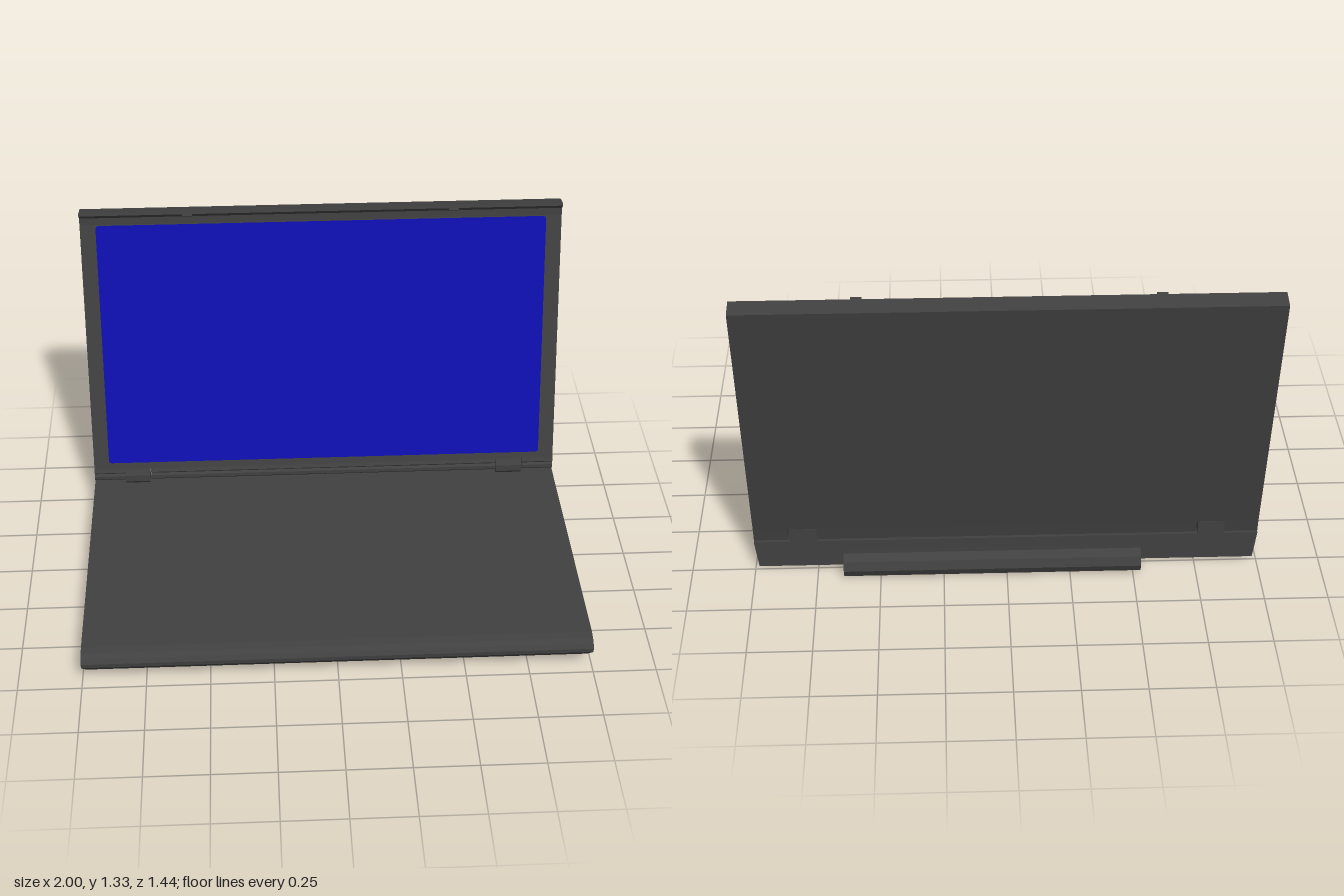
import * as THREE from 'three';

const casing = new THREE.MeshStandardMaterial({ color: 0x404040 });
casing.name = 'charcoal casing';
const display = new THREE.MeshStandardMaterial({ color: 0x0f0fb0 });
display.name = 'blue display';

// Extrudes a side profile of [z, y] points from x0 to x1.
function slab(name, profile, x0, x1) {
  const shape = new THREE.Shape(profile.map(([z, y]) => new THREE.Vector2(z, y)));
  const geometry = new THREE.ExtrudeGeometry(shape, { depth: x1 - x0, bevelEnabled: false });
  geometry.rotateY(-Math.PI / 2).translate(x1, 0, 0);
  const mesh = new THREE.Mesh(geometry, casing);
  mesh.name = name;
  return mesh;
}

function roundedRect(w, h, r) {
  const s = new THREE.Shape();
  const x = w / 2, y = h / 2;
  s.moveTo(-x + r, -y).lineTo(x - r, -y).quadraticCurveTo(x, -y, x, -y + r);
  s.lineTo(x, y - r).quadraticCurveTo(x, y, x - r, y);
  s.lineTo(-x + r, y).quadraticCurveTo(-x, y, -x, y - r);
  s.lineTo(-x, -y + r).quadraticCurveTo(-x, -y, -x + r, -y);
  return s;
}

export function createModel() {
  const model = new THREE.Group();
  model.name = 'laptop';

  // Base with a rounded nose; its underside is drawn in slightly at the sides
  const base = slab('base', [
    [-0.495, 0.01], [0.33, 0.01], [0.675, 0.03], [0.722, 0.078], [0.723, 0.095],
    [0.712, 0.112], [0.69, 0.124], [0.66, 0.13], [-0.495, 0.13],
  ], -1, 1);
  const pos = base.geometry.attributes.position;
  for (let i = 0; i < pos.count; i++) {
    if (pos.getY(i) < 0.035) pos.setX(i, pos.getX(i) * 0.985);
  }
  base.geometry.computeVertexNormals();
  model.add(base);

  // Eight-sided battery bar behind the base
  const octagon = [];
  for (let i = 0; i < 8; i++) {
    const a = (i * Math.PI) / 4 + 0.06;
    octagon.push([-0.539 + 0.05 * Math.cos(a), 0.051 + 0.051 * Math.sin(a)]);
  }
  model.add(slab('battery', octagon, -0.53, 0.645));

  // Lid panel with the overhanging lip along its top edge
  const lid = new THREE.Group();
  lid.name = 'lid';
  model.add(lid);
  lid.add(slab('lidPanel', [
    [-0.455, 0.19], [-0.494, 0.19], [-0.722, 1.32], [-0.65, 1.335],
    [-0.647, 1.325], [-0.667, 1.305], [-0.665, 1.275],
  ], -1, 1));

  // Lower lid edge, broken by the two hinge notches
  const lowerEdge = [
    [-0.455, 0.19], [-0.449, 0.175], [-0.453, 0.168], [-0.445, 0.16],
    [-0.445, 0.145], [-0.458, 0.133], [-0.486, 0.133], [-0.494, 0.19],
  ];
  for (const [x0, x1] of [[-1, -0.865], [-0.755, 0.75], [0.865, 1]]) {
    lid.add(slab('lidLowerEdge', lowerEdge, x0, x1));
  }

  // Hinge knuckles
  const knuckle = [
    [-0.44, 0.193], [-0.428, 0.172], [-0.428, 0.143], [-0.445, 0.12],
    [-0.475, 0.115], [-0.496, 0.125], [-0.496, 0.19],
  ];
  for (const [x0, x1] of [[-0.865, -0.76], [0.75, 0.86]]) {
    model.add(slab('hinge', knuckle, x0, x1));
  }

  // Latch hooks under the lip
  const hook = [[-0.66, 1.325], [-0.66, 1.315], [-0.635, 1.318], [-0.622, 1.327], [-0.64, 1.325]];
  for (const x of [-0.555, 0.545]) lid.add(slab('latch', hook, x - 0.02, x + 0.02));

  // Display, laid on the tilted front face of the lid
  const screen = new THREE.Mesh(
    new THREE.ExtrudeGeometry(roundedRect(1.87, 1.07, 0.015), { depth: 0.004, bevelEnabled: false }),
    display,
  );
  screen.name = 'screen';
  screen.position.set(0, 0.745, -0.5634);
  screen.rotation.x = -Math.atan(0.21 / 1.085);
  lid.add(screen);

  return model;
}
